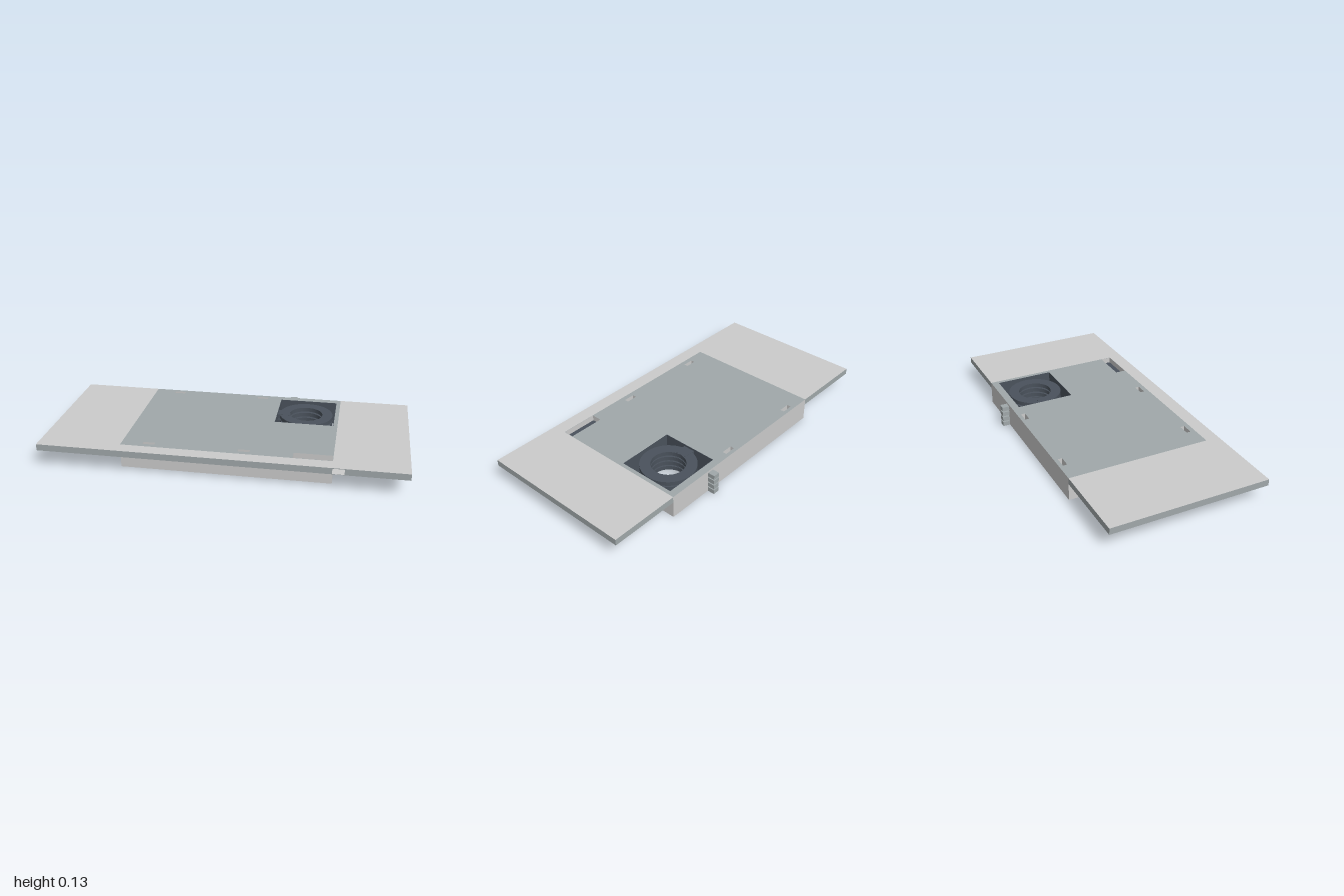
import * as THREE from 'three';

const light = new THREE.MeshStandardMaterial({ color: 0xcccccc });
const mid = new THREE.MeshStandardMaterial({ color: 0xa0a8aa });
const dark = new THREE.MeshStandardMaterial({ color: 0x4a525c });

// Plan outlines use x and z; the shape's y axis is -z.
const outline = (Type, pts) => new Type(pts.map(([x, z]) => new THREE.Vector2(x, -z)));
const rect = (Type, x0, x1, z0, z1) => outline(Type, [[x0, z0], [x0, z1], [x1, z1], [x1, z0]]);

function slab(name, shape, y, height, caps, sides) {
  const geo = new THREE.ExtrudeGeometry(shape, { depth: height, bevelEnabled: false, curveSegments: 32 });
  geo.rotateX(-Math.PI / 2).translate(0, y, 0);
  const mesh = new THREE.Mesh(geo, [caps, sides]);
  mesh.name = name;
  return mesh;
}

const L = -0.55, R = 0.6, BACK = -0.427, FRONT = 0.39, EDGE = 0.468;
const LAYER = 0.0325, TOP_Y = 3 * LAYER, TOP_H = 0.036;
const WIN = [0.24, 0.577, -0.385, -0.05];
const RING = [0.408, -0.217];

// Inner plate with window, four narrow slots and, on top, the corner pocket
function plateShape(pocket) {
  const shape = rect(THREE.Shape, L, R, BACK, FRONT);
  shape.holes.push(rect(THREE.Path, ...WIN));
  for (const x of [-0.4, 0.123])
    for (const z of [-0.393, 0.35])
      shape.holes.push(rect(THREE.Path, x - 0.033, x + 0.033, z - 0.012, z + 0.012));
  if (pocket) shape.holes.push(rect(THREE.Path, 0.388, R - 0.002, 0.328, FRONT - 0.002));
  return shape;
}

// Surround on three sides, optionally notched in its front edge
function surroundShape(notched) {
  const notch = notched ? [[0.6, EDGE], [0.6, 0.41], [0.665, 0.41], [0.665, EDGE]] : [];
  return outline(THREE.Shape, [[-1, BACK], [-1, EDGE], ...notch, [1, EDGE], [1, BACK],
    [R, BACK], [R, FRONT], [L, FRONT], [L, BACK]]);
}

// Round collar
function ringShape() {
  const shape = new THREE.Shape().absarc(RING[0], -RING[1], 0.155, 0, Math.PI * 2);
  shape.holes.push(new THREE.Path().absarc(RING[0], -RING[1], 0.095, 0, Math.PI * 2, true));
  return shape;
}

export function createModel() {
  const g = new THREE.Group();
  g.name = 'layeredPanel';

  for (let i = 0; i < 4; i++) {
    const y = i * LAYER, top = i === 3;
    g.add(slab(top ? 'topPlate' : 'basePlate', plateShape(top), y, top ? TOP_H : LAYER, mid, light));

    // Ring, its arm and the small back tab of each layer
    g.add(slab('ring', ringShape(), y, 0.024, dark, dark));
    g.add(slab('ringArm', rect(THREE.Shape, 0.24, 0.312, -0.25, -0.183), y, 0.025, dark, dark));
    g.add(slab('backTab', rect(THREE.Shape, 0.292, 0.33, -0.468, BACK), y, 0.025, mid, mid));
  }

  // Surround: thin skins above and below a notched core
  const skin = 0.002;
  g.add(slab('surroundBottom', surroundShape(false), TOP_Y, skin, light, mid));
  g.add(slab('surroundCore', surroundShape(true), TOP_Y + skin, TOP_H - 2 * skin, light, mid));
  g.add(slab('surroundTop', surroundShape(false), TOP_Y + TOP_H - skin, skin, light, mid));

  // Dark floor of the corner pocket
  g.add(slab('pocketFloor', rect(THREE.Shape, 0.388, 0.598, 0.328, 0.388), TOP_Y, 0.003, dark, dark));

  // Dark lining of the window
  const [x0, x1, z0, z1] = WIN, t = 0.002;
  const lining = rect(THREE.Shape, x0, x1, z0, z1);
  lining.holes.push(rect(THREE.Path, x0 + t, x1 - t, z0 + t, z1 - t));
  g.add(slab('windowLining', lining, 0, TOP_Y + TOP_H, dark, dark));

  return g;
}
